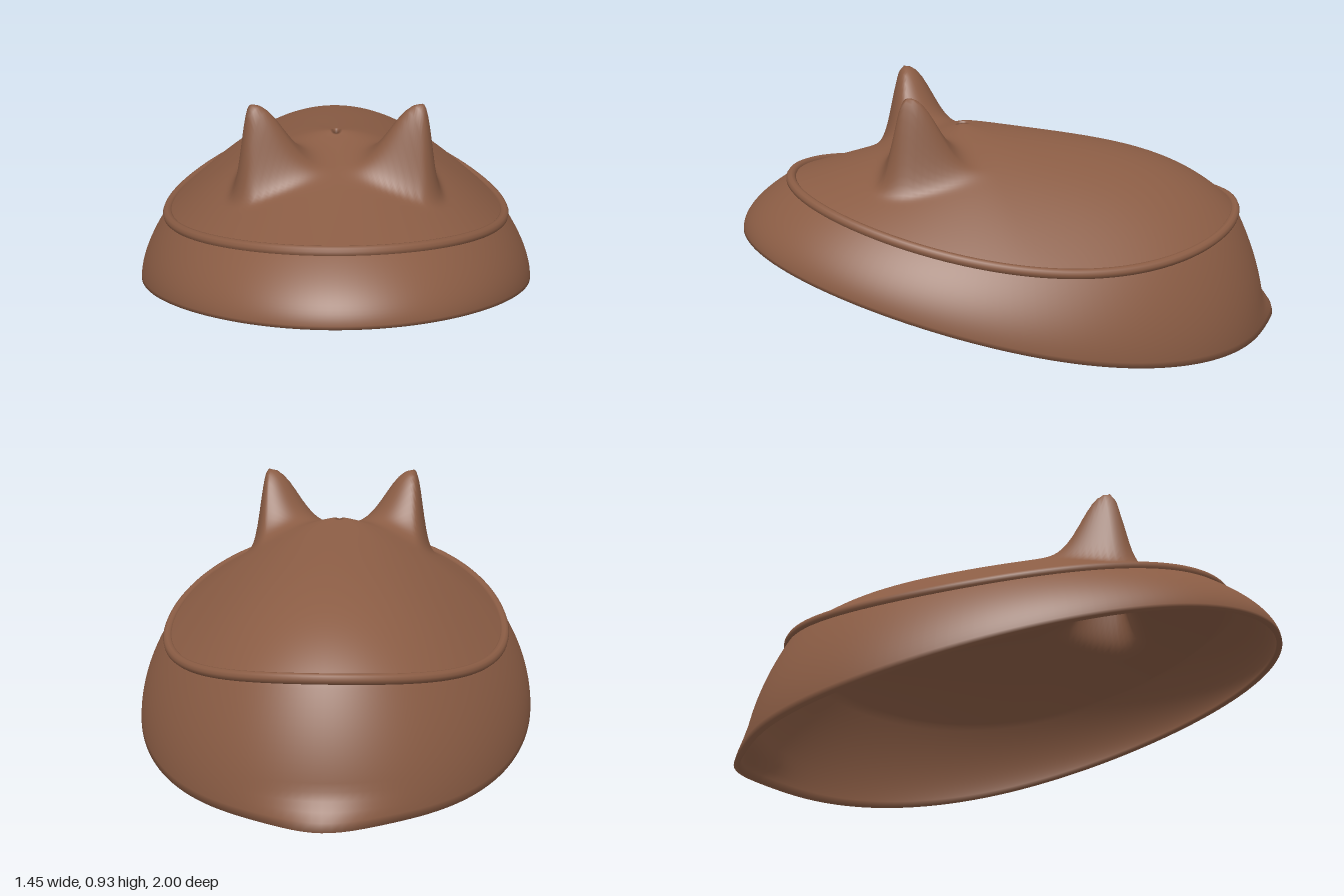
import * as THREE from 'three';

const COLS = 144, CROWN_ROWS = 72, WALL_ROWS = 16, THICKNESS = 0.02;
const APEX = { y: 0.785, z: 0.2 };
const mix = THREE.MathUtils.lerp;

// Oval seam line between the crown and the side wall
function seamPoint(a) {
  const q = Math.cos(a);
  return new THREE.Vector3(0.62 * Math.sin(a),
    0.425 + 0.11 * q + 0.105 * q * q - 0.04 * q ** 3, 0.82 * q);
}

// Raises the crown into two pointed ears, steep outside and sloping inward
function withEars(x, y, z) {
  const dx = Math.abs(x) - 0.285, dz = z - 0.395;
  const d = Math.hypot(dx / (dx > 0 ? 0.058 : 0.2), dz / (dz > 0 ? 0.085 : 0.18));
  return mix(y, 0.94, Math.exp(-2 * d ** 2.4));
}

// Crown: s runs from the small centre hole (near 0) to the seam (1)
function crownPoint(s, a) {
  const p = seamPoint(a), c = Math.cos(a);
  const side = s ** 1.6;
  const end = c > 0 ? s ** 0.88 : 0.5 * s + 0.5 * s ** 5;
  const drop = mix(side, end, c * c);
  const x = p.x * s, z = mix(APEX.z, p.z, s);
  return new THREE.Vector3(x, withEars(x, mix(APEX.y, p.y, drop), z), z);
}

// Wall: t runs from the seam (0) to the open rim (1), bulging outward
function wallPoint(t, a) {
  const p = seamPoint(a), c = Math.cos(a);
  const u = 1 - (1 - t) ** 1.8;
  const rimX = 0.725 * Math.sin(a), rimZ = c * (c > 0 ? 1 : 0.95);
  const rimY = 0.165 + 0.245 * rimZ + 0.055 * rimZ ** 2 - 0.045 * rimZ ** 3;
  // small pointed flare at the back of the rim
  const flare = c < 0 ? 0.05 * Math.exp(-((rimX / 0.17) ** 2)) * THREE.MathUtils.smoothstep(t, 0.75, 1) : 0;
  return new THREE.Vector3(mix(p.x, rimX, u), mix(p.y, rimY, t), mix(p.z, rimZ, u) - flare);
}

// Joins rows of points, closed around each row and optionally back to the first row
function loft(rows, closeRows) {
  const index = [], n = rows.length;
  for (let i = 0; i < (closeRows ? n : n - 1); i++) {
    for (let j = 0; j < COLS; j++) {
      const k = (j + 1) % COLS, r = (i + 1) % n;
      const a = i * COLS + j, b = r * COLS + j, c = r * COLS + k, d = i * COLS + k;
      index.push(a, b, d, b, c, d);
    }
  }
  const g = new THREE.BufferGeometry().setFromPoints(rows.flat());
  g.setIndex(index);
  g.computeVertexNormals();
  return g;
}

function shellGeometry() {
  const ring = (f, v) => Array.from({ length: COLS }, (_, j) => f(v, (j / COLS) * Math.PI * 2));
  const outer = [];
  for (let i = 0; i <= CROWN_ROWS; i++) outer.push(ring(crownPoint, mix(0.022, 1, i / CROWN_ROWS)));
  for (let i = 1; i <= WALL_ROWS; i++) outer.push(ring(wallPoint, i / WALL_ROWS));

  // inner lining follows the outside at a constant thickness
  const normals = loft(outer, false).attributes.normal;
  const inner = outer.map((row, i) => row.map((p, j) => {
    const n = new THREE.Vector3().fromBufferAttribute(normals, i * COLS + j);
    // keep the centre hole open
    if (i < 3) n.set(0, 1, 0);
    return p.clone().addScaledVector(n, -THICKNESS);
  }));
  return loft([...outer, ...inner.reverse()], true);
}

export function createModel() {
  const model = new THREE.Group();
  model.name = 'earedCap';
  const brown = new THREE.MeshStandardMaterial({ color: 0x8a5c44 });
  brown.name = 'brown';

  // Hollow cap with ears
  const shell = new THREE.Mesh(shellGeometry(), brown);
  shell.name = 'capShell';

  // Piping over the seam
  const path = new THREE.CatmullRomCurve3(
    Array.from({ length: 48 }, (_, i) => seamPoint((i / 48) * Math.PI * 2)), true);
  const piping = new THREE.Mesh(new THREE.TubeGeometry(path, 144, 0.018, 10, true), brown);
  piping.name = 'seamPiping';

  model.add(shell, piping);
  return model;
}
